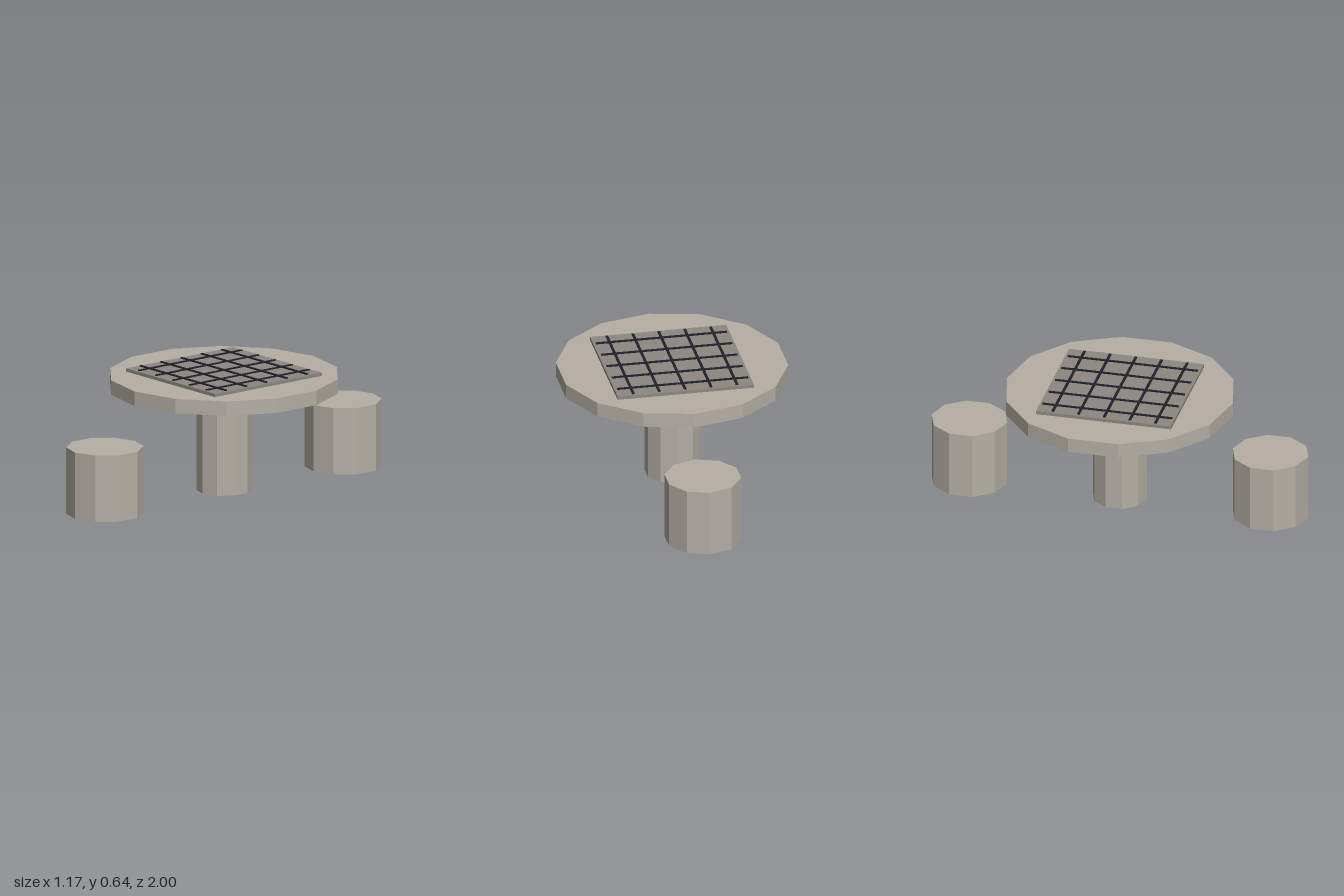
import * as THREE from 'three';

export function createModel() {
  const group = new THREE.Group();

  const makeMaterial = (name, color) => {
    const m = new THREE.MeshStandardMaterial({ color, flatShading: true });
    m.name = name;
    return m;
  };
  const stone = makeMaterial('stone', 0xb5afa4);
  const slate = makeMaterial('slate', 0x8d8880);
  const ink = makeMaterial('ink', 0x20202b);

  const add = (name, geometry, material, x, y, z) => {
    const mesh = new THREE.Mesh(geometry, material);
    mesh.name = name;
    mesh.position.set(x, y, z);
    group.add(mesh);
  };
  // Faceted drum standing between two heights
  const drum = (name, radius, bottom, top, sides, z = 0) =>
    add(name, new THREE.CylinderGeometry(radius, radius, top - bottom, sides), stone, 0, (bottom + top) / 2, z);

  // Table
  drum('tableColumn', 0.143, 0, 0.538, 10);
  drum('tableTop', 0.6, 0.538, 0.615, 14);

  // Stools in front and behind
  drum('frontStool', 0.2, 0, 0.353, 10, 0.8);
  drum('backStool', 0.2, 0, 0.353, 10, -0.8);

  // Game board inset on the table
  add('gameBoard', new THREE.BoxGeometry(0.718, 0.017, 0.718), slate, 0, 0.6235, 0);

  // Grid lines, five each way; crossing sets differ slightly in height
  for (let i = -2; i <= 2; i++) {
    const p = i * 0.1365;
    add('gridLineAcross', new THREE.BoxGeometry(0.69, 0.006, 0.013), ink, 0, 0.635, p);
    add('gridLineAlong', new THREE.BoxGeometry(0.013, 0.0056, 0.69), ink, p, 0.6348, 0);
  }

  return group;
}
